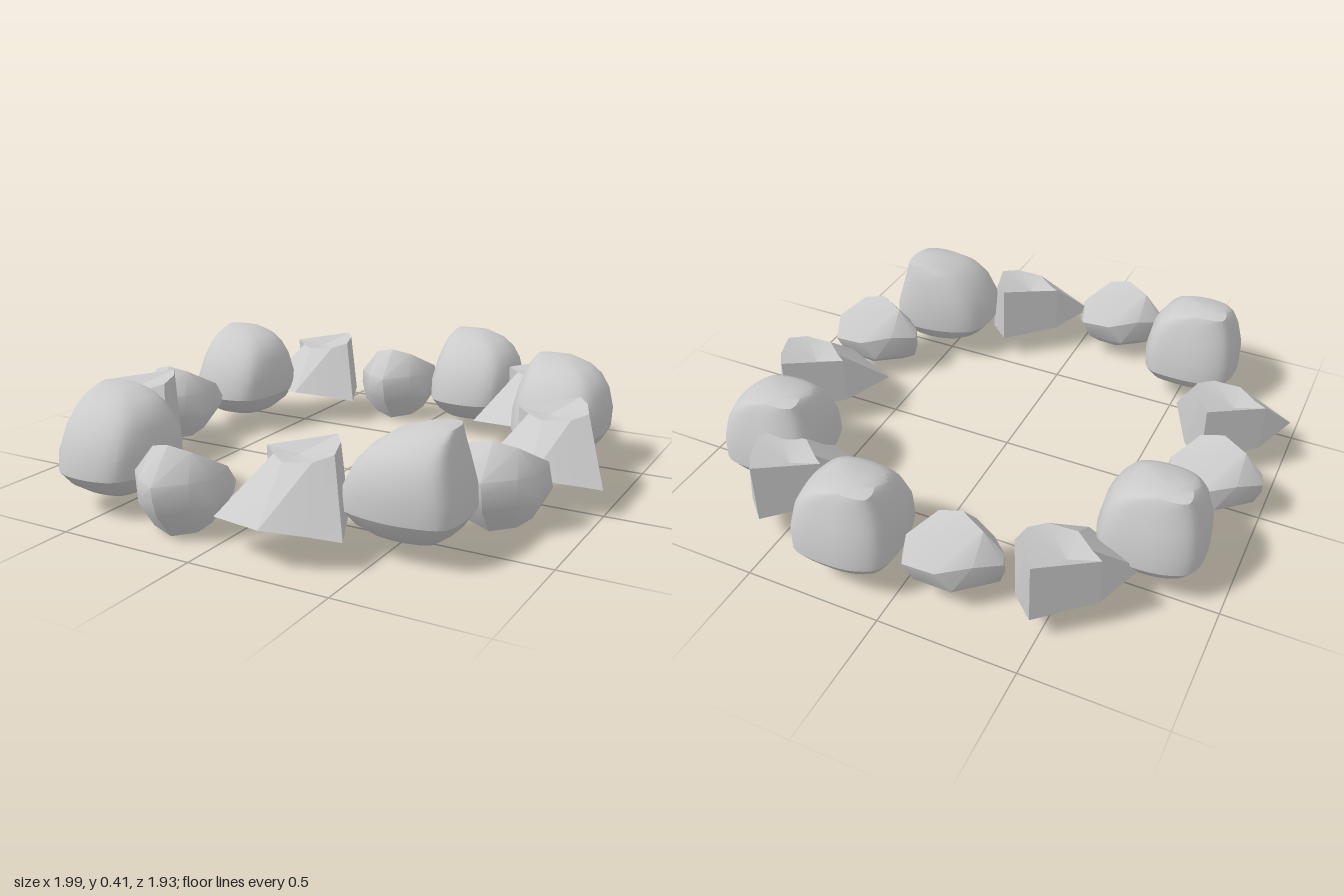
import * as THREE from 'three';
import { ConvexGeometry } from 'three/addons/geometries/ConvexGeometry.js';
import { toCreasedNormals } from 'three/addons/utils/BufferGeometryUtils.js';

const material = new THREE.MeshStandardMaterial({ color: 0xcccccc });

// Skin a stack of closed loops (bottom to top, counter-clockwise from above) and cap both ends.
function skin(loops, bottom, top, crease) {
  const n = loops[0].length;
  const index = [];
  const low = loops.length * n, high = low + 1, last = (loops.length - 1) * n;
  for (let j = 0; j < n; j++) {
    const k = (j + 1) % n;
    for (let i = 0; i < last; i += n) {
      index.push(i + j, i + k, i + n + k, i + j, i + n + k, i + n + j);
    }
    index.push(low, k, j, high, last + j, last + k);
  }
  const geometry = new THREE.BufferGeometry();
  geometry.setAttribute('position', new THREE.Float32BufferAttribute([...loops, [bottom, top]].flat(2), 3));
  geometry.setIndex(index);
  return toCreasedNormals(geometry, crease);
}

// Rounded boulder: one plan outline fitted to each ring, highest at the back left,
// sloping forward and to the right.
function boulderGeometry() {
  const outline = new THREE.CatmullRomCurve3([
    [-0.12, 0.165], [0, 0.205], [0.14, 0.17], [0.18, 0.06], [0.182, -0.08],
    [0.145, -0.185], [0.03, -0.207], [-0.105, -0.19], [-0.172, -0.14], [-0.178, 0.02],
  ].map(([x, z]) => new THREE.Vector3(x / 0.182, 0, z / 0.206)), true).getPoints(40).slice(0, -1);
  const rings = [ // y, left, right, back, front
    [0.055, -0.06, 0.06, -0.07, 0.06],
    [0.07, -0.115, 0.11, -0.13, 0.11],
    [0.105, -0.155, 0.15, -0.175, 0.165],
    [0.15, -0.183, 0.178, -0.205, 0.203],
    [0.22, -0.183, 0.182, -0.20, 0.195],
    [0.30, -0.167, 0.165, -0.177, 0.155],
    [0.35, -0.152, 0.135, -0.16, 0.11],
    [0.385, -0.14, 0.09, -0.147, 0.06],
    [0.41, -0.125, 0.01, -0.135, -0.03],
  ];
  const loops = rings.map(([y, x0, x1, z0, z1]) => outline.map((p) => [
    (x0 + x1) / 2 + ((x1 - x0) / 2) * p.x,
    y,
    (z0 + z1) / 2 + ((z1 - z0) / 2) * p.z,
  ]));
  return skin(loops, [0, 0.052, 0], [-0.06, 0.417, -0.09], 0.5);
}

// Angular rock: wide sloping front, steep back and a dipped top.
function angularGeometry() {
  const base = [
    [-0.22, 0.115, 0.135], [0, 0.14, 0.215], [0.13, 0.12, 0.145], [0.22, 0.10, 0.09],
    [0.115, 0.10, -0.135], [0.03, 0.10, -0.215], [-0.15, 0.12, -0.07],
  ];
  const rim = [
    [-0.10, 0.295, -0.03], [-0.03, 0.295, 0.03], [0.07, 0.305, 0.015], [0.115, 0.32, -0.045],
    [0.075, 0.325, -0.155], [0.03, 0.33, -0.215], [-0.15, 0.305, -0.07],
  ];
  return skin([base, rim], [0.02, 0.105, 0], [-0.04, 0.285, -0.09], 0.2);
}

// Small tilted stone, a hull around a few corner points.
function pebbleGeometry() {
  const corners = [
    // top ridge and left knob
    [-0.09, 0.29, 0.01], [0, 0.315, 0.045], [0.08, 0.30, 0.03], [0.155, 0.24, -0.06],
    [-0.165, 0.18, 0], [-0.155, 0.20, 0.03], [-0.165, 0.14, 0.015],
    // back
    [-0.09, 0.20, -0.07], [0.02, 0.18, -0.13], [0.14, 0.17, -0.125], [0.17, 0.15, -0.07],
    [-0.03, 0.10, -0.11], [0.11, 0.10, -0.11], [-0.09, 0.11, -0.06], [0, 0.06, -0.075], [0.08, 0.06, -0.07],
    // front
    [0, 0.20, 0.14], [0.005, 0.155, 0.14], [-0.09, 0.20, 0.09], [-0.095, 0.12, 0.09],
    [0.10, 0.21, 0.075], [0.10, 0.12, 0.075], [0.15, 0.21, 0], [0.155, 0.12, 0], [0, 0.09, 0.115],
    // bottom
    [0, 0.005, 0.05], [-0.075, 0.025, 0.04], [-0.14, 0.07, 0.025], [0.085, 0.025, 0.02], [0.13, 0.06, 0],
  ];
  const hull = new ConvexGeometry(corners.map((p) => new THREE.Vector3(...p)));
  return toCreasedNormals(hull, 0.6);
}

export function createModel() {
  const ring = new THREE.Group();
  ring.name = 'stoneRing';

  // Each kind of stone with its places: x, z, turn
  const kinds = [
    ['boulder', boulderGeometry(), [
      [0.195, -0.765], [0.67, -0.475], [-0.725, -0.355], [-0.53, 0.695], [0.54, 0.565, -Math.PI / 2],
    ]],
    ['angularRock', angularGeometry(), [
      [-0.51, -0.65], [0.525, -0.63], [0.775, -0.08], [-0.77, 0.315], [0.23, 0.74],
    ]],
    ['pebble', pebbleGeometry(), [
      [-0.175, -0.755], [-0.83, -0.025], [0.71, 0.265], [-0.175, 0.81],
    ]],
  ];
  for (const [name, geometry, places] of kinds) {
    places.forEach(([x, z, turn = 0], i) => {
      const stone = new THREE.Mesh(geometry, material);
      stone.name = name + (i + 1);
      stone.position.set(x, 0, z);
      stone.rotation.y = turn;
      ring.add(stone);
    });
  }
  return ring;
}
